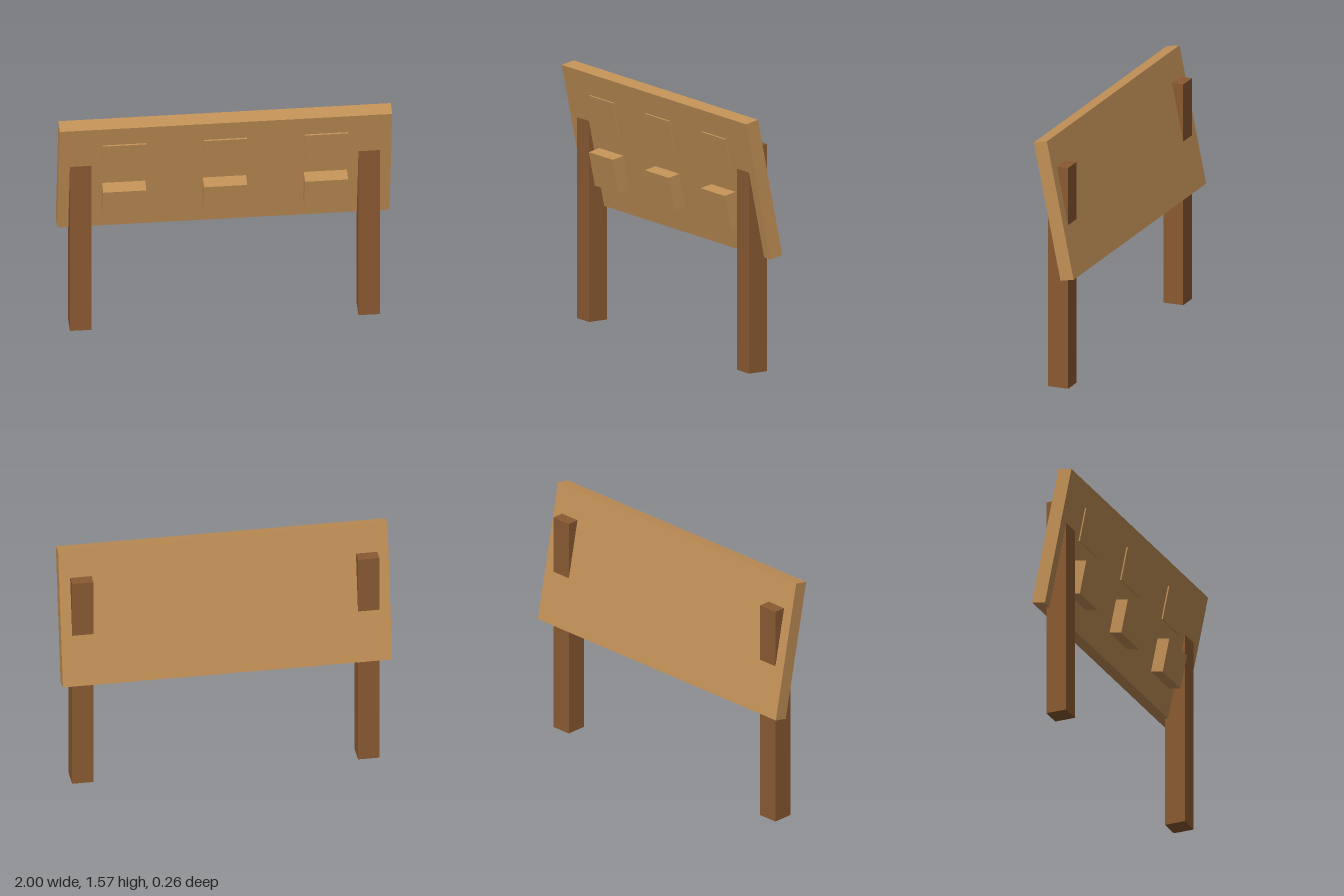
import * as THREE from 'three';

export function createModel() {
  const model = new THREE.Group();
  model.name = 'noticeBoard';

  const darkWood = new THREE.MeshStandardMaterial({ name: 'dark wood', color: 0x8a5a32 });
  const lightWood = new THREE.MeshStandardMaterial({ name: 'light wood', color: 0xc39157 });
  const tilt = 0.202; // forward lean of the panel and its plaques

  function addBox(name, material, size, position, lean = 0) {
    const mesh = new THREE.Mesh(new THREE.BoxGeometry(...size), material);
    mesh.name = name;
    mesh.position.set(...position);
    mesh.rotation.x = lean;
    model.add(mesh);
  }

  // Leaning panel
  addBox('panel', lightWood, [2, 0.868, 0.087], [0, 1.133, 0], tilt);

  // Upright posts passing through the panel
  for (const side of [-1, 1]) {
    const name = side > 0 ? 'leftPost' : 'rightPost';
    addBox(name, darkWood, [0.13, 1.393, 0.13], [side * 0.868, 0.6965, 0]);
  }

  // Two rows of plaques; the lower row stands further off the panel
  for (const [row, y] of [['lower', 0.963], ['upper', 1.31]]) {
    for (const x of [-0.607, 0, 0.607]) {
      addBox(`${row}Plaque`, lightWood, [0.26, 0.215, 0.087], [x, y, 0.0455], tilt);
    }
  }

  return model;
}
